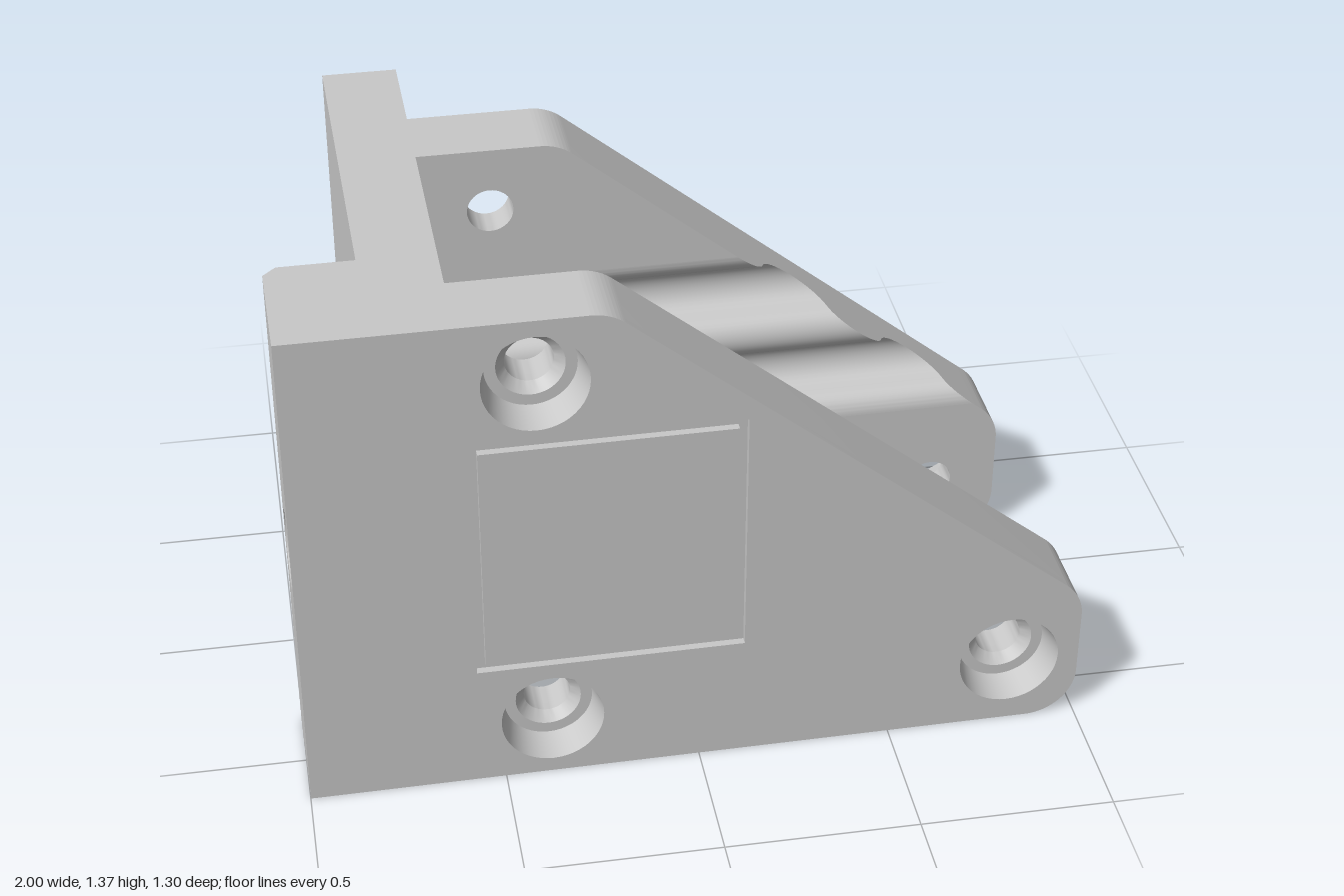
import * as THREE from 'three';
import { toCreasedNormals } from 'three/addons/utils/BufferGeometryUtils.js';

// Main dimensions
const H = 1.365, X_BACK = -1.006, X_WALL = -0.783, X_STEP = -0.646, X_IN = -0.588, X_END = 0.994;
const Z_FRONT = 0.639, Z_FRONT_IN = 0.438, Z_REAR_IN = -0.175, Z_REAR = -0.378, Z_MIN = -0.657;
const R = 0.13, SLOPE = 0.8895; // corner radius, angle of the slanted edge's normal
const BOLTS = [[-0.404, 1.19], [-0.383, 0.171], [0.809, 0.19]];
const ROWS = [0.572, 0.845]; // heights of the wall screws and of the grooves
const PITCH = (ROWS[1] - ROWS[0]) / 2;
const Y_LOW = ROWS[0] - PITCH, Y_HIGH = ROWS[1] + PITCH; // grooved band of the rear plate
const slantX = (y) => X_END - (y - 0.375) / 0.811;

const circle = (x, y, r) => new THREE.Path().absarc(x, y, r, 0, Math.PI * 2, true);

function polygon(points, Type = THREE.Shape) {
  return new Type(points.map(([x, y]) => new THREE.Vector2(x, y)));
}

function rect(x0, y0, x1, y1, Type) {
  return polygon([[x0, y0], [x1, y0], [x1, y1], [x0, y1]], Type);
}

function hexagon(x, y, r, Type) {
  const pts = [];
  for (let i = 0; i < 6; i++) {
    const a = Math.PI / 2 + (i * Math.PI) / 3;
    pts.push([x + r * Math.cos(a), y + r * Math.sin(a)]);
  }
  return polygon(pts, Type);
}

// Side plate outline, limited to a band of heights
function plateShape(low, high) {
  const s = new THREE.Shape();
  s.moveTo(X_IN, low);
  if (low === 0) {
    s.lineTo(0.864, 0);
    s.absarc(0.864, R, R, -Math.PI / 2, 0, false);
    s.absarc(0.864, 0.313, R, 0, SLOPE, false);
  } else s.lineTo(slantX(low), low);
  if (high === H) s.absarc(-0.271, H - R, R, SLOPE, Math.PI / 2, false);
  else s.lineTo(slantX(high), high);
  s.lineTo(X_IN, high);
  s.lineTo(X_IN, low);
  return s;
}

function extrude(shape, from, to) {
  const g = new THREE.ExtrudeGeometry(shape, { depth: to - from, bevelEnabled: false, curveSegments: 24 });
  g.translate(0, 0, from);
  return toCreasedNormals(g, 0.45);
}

// Shapes drawn in (-z, y) and extruded along x
const extrudeX = (shape, from, to) => extrude(shape, from, to).rotateY(Math.PI / 2);

// Rear plate band: tangent arcs give the grooved inner face
function groovedBand() {
  const ridgeR = 0.0659, ridgeZ = Z_REAR_IN - ridgeR, grooveZ = -0.205;
  const beta = Math.atan2(grooveZ - ridgeZ, PITCH);
  const grooveR = Math.hypot(PITCH, grooveZ - ridgeZ) - ridgeR;
  const profile = [];
  const arc = (y, z, r, a0, a1) => {
    for (let i = 0; i <= 16; i++) {
      const a = a0 + ((a1 - a0) * i) / 16;
      profile.push([y + r * Math.cos(a), z + r * Math.sin(a)]);
    }
  };
  const ridge = (y, a0, a1) => arc(y, ridgeZ, ridgeR, a0, a1);
  const groove = (y) => arc(y, grooveZ, grooveR, Math.PI + beta, 2 * Math.PI - beta);
  ridge(Y_LOW, Math.PI / 2, beta);
  groove(ROWS[0]);
  ridge(ROWS[0] + PITCH, Math.PI - beta, beta);
  groove(ROWS[1]);
  ridge(Y_HIGH, Math.PI - beta, Math.PI / 2);
  // Drop the doubled points where two arcs meet
  const path = profile.filter(([y], i) => i === 0 || y - profile[i - 1][0] > 1e-5);

  const pos = [], index = [];
  path.forEach(([y, z], i) => {
    const x = slantX(y);
    pos.push(X_IN, y, z, x, y, z, x, y, Z_REAR, X_IN, y, Z_REAR);
    if (i === 0) return;
    for (let k = 0; k < 3; k++) {
      const p = (i - 1) * 4 + k;
      index.push(p, p + 1, p + 5, p, p + 5, p + 4);
    }
  });
  const g = new THREE.BufferGeometry();
  g.setAttribute('position', new THREE.Float32BufferAttribute(pos, 3));
  g.setIndex(index);
  return toCreasedNormals(g, 0.45);
}

function lathe(points, segments) {
  const g = new THREE.LatheGeometry(points.map(([r, h]) => new THREE.Vector2(r, h)), segments);
  return toCreasedNormals(g, 0.3);
}

export function createModel() {
  const model = new THREE.Group();
  model.name = 'mountingBracket';
  const body = new THREE.Group();
  body.name = 'bracketBody';
  body.rotation.y = 0.01;
  model.add(body);

  const grey = new THREE.MeshStandardMaterial({ color: 0xc8c8c8 });
  grey.name = 'plainGrey';
  const add = (name, geometry) => {
    const mesh = new THREE.Mesh(geometry, grey);
    mesh.name = name;
    body.add(mesh);
    return mesh;
  };

  // Front plate: core, then a thin face layer with a square engraved line
  const cx = -0.231, cy = 0.687, skin = Z_FRONT - 0.02;
  const frontShape = () => {
    const s = plateShape(0, H);
    BOLTS.forEach(([x, y]) => s.holes.push(circle(x, y, 0.131)));
    return s;
  };
  add('frontPlate', extrude(frontShape(), Z_FRONT_IN, skin));
  const face = frontShape();
  face.holes.push(rect(cx - 0.34, cy - 0.342, cx + 0.34, cy + 0.342, THREE.Path));
  add('frontPlateFace', extrude(face, skin, Z_FRONT));
  add('squarePanel', extrude(rect(cx - 0.317, cy - 0.318, cx + 0.317, cy + 0.318), skin, Z_FRONT));

  // Rear plate: lower and upper bands with hexagonal pockets, grooved band between
  [[0, Y_LOW, 'rearPlateLower'], [Y_HIGH, H, 'rearPlateUpper']].forEach(([low, high, name]) => {
    const s = plateShape(low, high);
    BOLTS.filter(([, y]) => y > low && y < high)
      .forEach(([x, y]) => s.holes.push(hexagon(x, y, 0.145, THREE.Path)));
    add(name, extrude(s, Z_REAR, Z_REAR_IN));
  });
  add('rearPlateGrooves', groovedBand());

  // Bolt seats in the front plate, nut pockets in the rear plate
  BOLTS.forEach(([x, y]) => {
    const seat = lathe([[0.131, Z_FRONT], [0.113, 0.555], [0.084, 0.555], [0.06, 0.53],
      [0.06, Z_FRONT_IN], [0.131, Z_FRONT_IN]], 48).rotateX(Math.PI / 2);
    add('boltSeat', seat).position.set(x, y, 0);
    const pocket = lathe([[0.145, -Z_REAR], [0.12, 0.29]], 6).rotateX(-Math.PI / 2);
    add('nutPocketWall', pocket).position.set(x, y, 0);
    const floor = hexagon(x, y, 0.145);
    floor.holes.push(circle(x, y, 0.084));
    add('nutPocketFloor', extrude(floor, -0.29, Z_REAR_IN));
    const bore = lathe([[0.084, 0.29], [0.06, 0.265], [0.06, -Z_REAR_IN], [0.084, -Z_REAR_IN]], 48);
    add('nutPocketBore', bore.rotateX(-Math.PI / 2)).position.set(x, y, 0);
  });

  // Cross wall: notched outer layer, full inner layer with wider screw recesses
  const drill = (shape, r) => {
    for (const z of [-0.211, 0.199]) for (const y of ROWS) shape.holes.push(circle(-z, y, r));
    return shape;
  };
  const notched = polygon([[-Z_FRONT, 0], [-0.297, 0], [-0.297, 0.3], [0.32, 0.3], [0.32, 0],
    [-Z_MIN, 0], [-Z_MIN, H], [-Z_FRONT, H]]);
  add('crossWallOuter', extrudeX(drill(notched, 0.04), X_WALL, X_STEP));
  add('crossWallInner', extrudeX(drill(rect(-Z_FRONT, 0, -Z_MIN, H), 0.07), X_STEP, X_IN));

  // Corner block with a stepped round blind hole and a chamfered edge
  [[0.1, X_BACK, -0.98], [0.085, -0.98, X_WALL]].forEach(([r, from, to]) => {
    const block = rect(-Z_FRONT, 0, -0.33, H);
    block.holes.push(circle(-0.492, 0.68, r));
    add('cornerBlock', extrudeX(block, from, to));
  });
  const chamfer = polygon([[X_WALL, -0.33], [X_BACK, -0.33], [-0.973, -0.297], [X_WALL, -0.297]]);
  add('cornerBlockChamfer', extrude(chamfer, 0, H).rotateX(-Math.PI / 2));

  return model;
}
